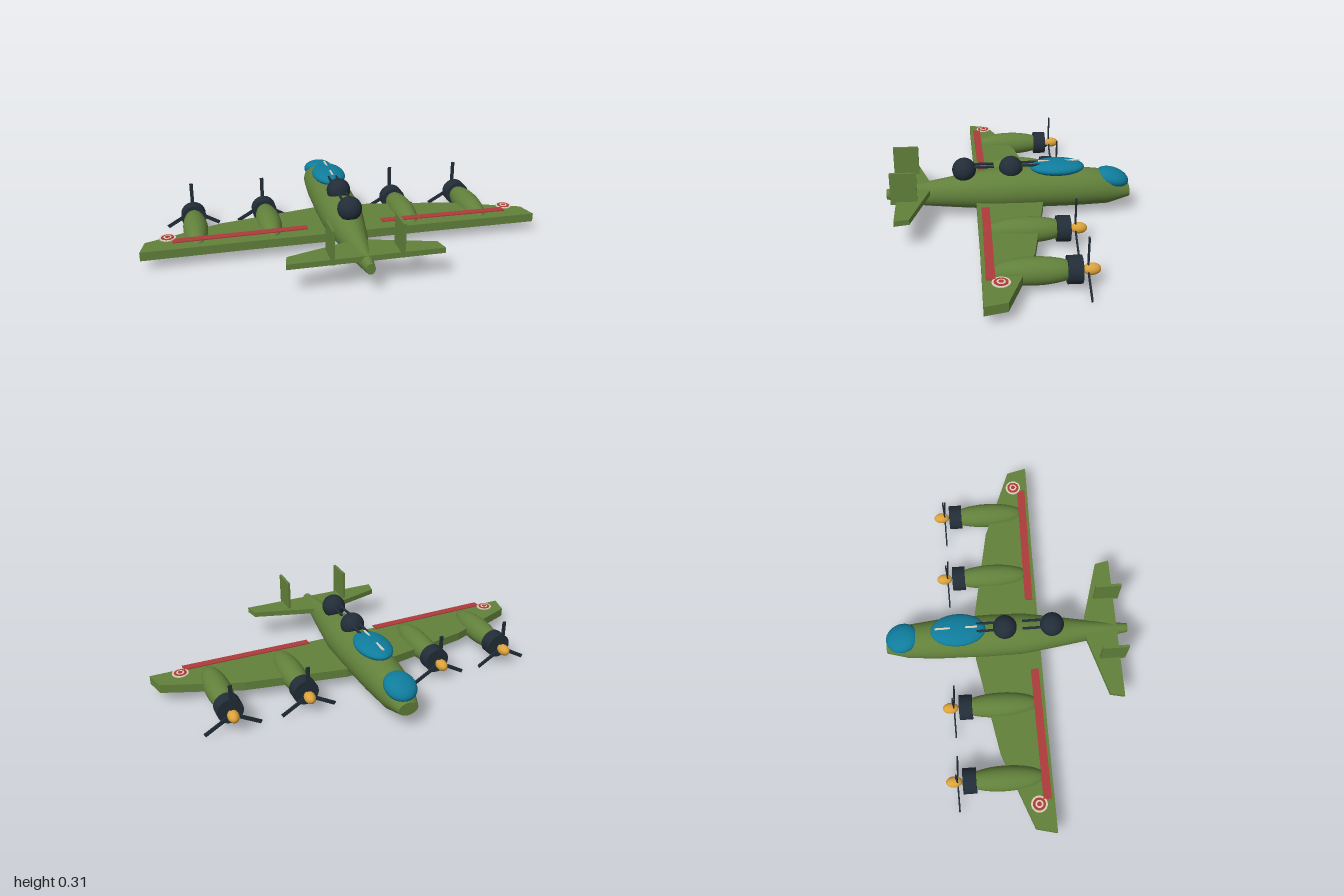
import * as THREE from 'three';

export function createModel() {
  const root = new THREE.Group();
  root.name = 'bomberAircraft';
  const mat = (name, color, side = THREE.FrontSide) => {
    const m = new THREE.MeshStandardMaterial({ color, side });
    m.name = name;
    return m;
  };
  const green = mat('olive green', 0x62813b);
  const grey = mat('belly grey', 0xa6a6a6);
  const dark = mat('gunmetal', 0x222d38);
  const teal = mat('teal glass', 0x0f7c9c);
  const red = mat('marking red', 0xae3b3b);
  const gold = mat('spinner gold', 0xdba23a);
  const cream = mat('cream', 0xddd0b8);

  const add = (name, geo, material, x = 0, y = 0, z = 0, parent = root) => {
    const m = new THREE.Mesh(geo, material);
    m.name = name;
    m.position.set(x, y, z);
    parent.add(m);
    return m;
  };
  const box = (w, h, d) => new THREE.BoxGeometry(w, h, d);
  const ellipsoid = (rx, ry, rz) => new THREE.SphereGeometry(1, 32, 20).scale(rx, ry, rz);

  // Flat slab with an outline of [x, z] points, its top at y
  const slab = (points, y, thickness) => {
    const shape = new THREE.Shape(points.map(([x, z]) => new THREE.Vector2(x, z)));
    return new THREE.ExtrudeGeometry(shape, { depth: thickness, bevelEnabled: false })
      .rotateX(Math.PI / 2).translate(0, y, 0);
  };
  const mirrored = (half) => [...half, ...half.map(([x, z]) => [-x, z]).reverse()];

  // Fuselage: lofted ellipses [z, half width, top, bottom], grey along the belly
  const sections = [
    [-0.62, 0.05, 0.15, 0.083], [-0.51, 0.085, 0.225, 0.047], [-0.35, 0.1, 0.243, 0.042],
    [-0.1, 0.107, 0.25, 0.04], [0.08, 0.104, 0.246, 0.038], [0.25, 0.078, 0.218, 0.048],
    [0.42, 0.05, 0.187, 0.06], [0.62, 0.022, 0.153, 0.1],
  ];
  const N = 32, ring = N + 1, pos = [], skin = [], belly = [];
  const pushRing = ([z, w, top, bottom]) => {
    for (let i = 0; i <= N; i++) {
      const a = ((i % N) / N) * Math.PI * 2;
      pos.push(w * Math.sin(a), (top + bottom) / 2 - ((top - bottom) / 2) * Math.cos(a), z);
    }
  };
  sections.forEach(pushRing);
  for (let j = 0; j < sections.length - 1; j++) {
    for (let i = 0; i < N; i++) {
      const a = j * ring + i, b = a + 1, c = a + ring, d = c + 1;
      const isBelly = j > 0 && j < sections.length - 2 && (i < 3 || i >= N - 3);
      (isBelly ? belly : skin).push(a, b, c, b, d, c);
    }
  }
  // End caps
  [sections[0], sections[sections.length - 1]].forEach((s, end) => {
    const start = pos.length / 3;
    pushRing(s);
    for (let i = 1; i < N - 1; i++) {
      if (end) skin.push(start, start + i, start + i + 1);
      else skin.push(start, start + i + 1, start + i);
    }
  });
  const hull = new THREE.BufferGeometry();
  hull.setAttribute('position', new THREE.Float32BufferAttribute(pos, 3));
  hull.setIndex([...skin, ...belly]);
  hull.addGroup(0, skin.length, 0);
  hull.addGroup(skin.length, belly.length, 1);
  hull.computeVertexNormals();
  add('fuselage', hull, [green, grey]);

  // Wing and tail
  add('wing', slab(mirrored([
    [0.1, -0.168], [0.6, -0.075], [0.975, 0.07], [1, 0.172], [0.5, 0.167],
  ]), 0.102, 0.044), green);
  add('tailplane', slab(mirrored([
    [0.05, 0.4], [0.355, 0.49], [0.37, 0.562],
  ]), 0.164, 0.027), green);
  for (const s of [-1, 1]) add('tailFin', box(0.013, 0.165, 0.13), green, s * 0.163, 0.232, 0.523);

  // Glazing
  add('noseGlass', ellipsoid(0.077, 0.046, 0.088), teal, 0, 0.188, -0.533).rotation.x = -0.3;
  add('canopy', ellipsoid(0.085, 0.037, 0.138), teal, 0, 0.254, -0.247);
  add('canopyRail', box(0.009, 0.005, 0.21), cream, 0, 0.287, -0.255);

  // Gun turrets on the spine
  for (const [z, y] of [[-0.012, 0.255], [0.225, 0.252]]) {
    const turret = new THREE.Group();
    turret.name = 'turret';
    turret.position.set(0, y, z);
    root.add(turret);
    add('turretDome', ellipsoid(0.06, 0.06, 0.06), dark, 0, 0, 0, turret);
    for (const s of [-1, 1]) {
      const barrel = new THREE.CylinderGeometry(0.0065, 0.0065, 0.12, 12).rotateX(Math.PI / 2);
      add('gunBarrel', barrel, dark, s * 0.02, 0.019, -0.09, turret);
    }
  }

  // Engines: nacelle, cowling, spinner and three blades
  for (const x of [-0.725, -0.355, 0.355, 0.725]) {
    const engine = new THREE.Group();
    engine.name = 'engine';
    engine.position.set(x, 0.09, 0);
    root.add(engine);
    add('nacelle', ellipsoid(0.062, 0.063, 0.2), green, 0, 0, -0.06, engine);
    add('cowling', new THREE.CylinderGeometry(0.063, 0.063, 0.066, 32).rotateX(Math.PI / 2),
      dark, 0, 0, -0.234, engine);
    add('spinner', ellipsoid(0.027, 0.027, 0.04), gold, 0, 0, -0.31, engine);
    for (let k = 0; k < 3; k++) {
      const blade = box(0.018, 0.155, 0.007).translate(0, 0.0775, 0);
      add('propellerBlade', blade, dark, 0, 0, -0.293, engine).rotation.z = (k * Math.PI * 2) / 3;
    }
  }

  // Wing markings: long stripe and concentric roundel on each side
  for (const s of [-1, 1]) {
    const outline = [[0.19, 0.107], [0.843, 0.115], [0.843, 0.155], [0.19, 0.146]];
    add('wingStripe', slab(outline.map(([x, z]) => [s * x, z]), 0.131, 0.005), red);
    [[0.04, cream], [0.031, red], [0.019, cream], [0.011, red]].forEach(([r, m], i) => {
      const h = 0.004 + i * 0.0015;
      add('roundelRing', new THREE.CylinderGeometry(r, r, h, 32), m, s * 0.865, 0.127 + h / 2, 0.093);
    });
  }
  return root;
}
